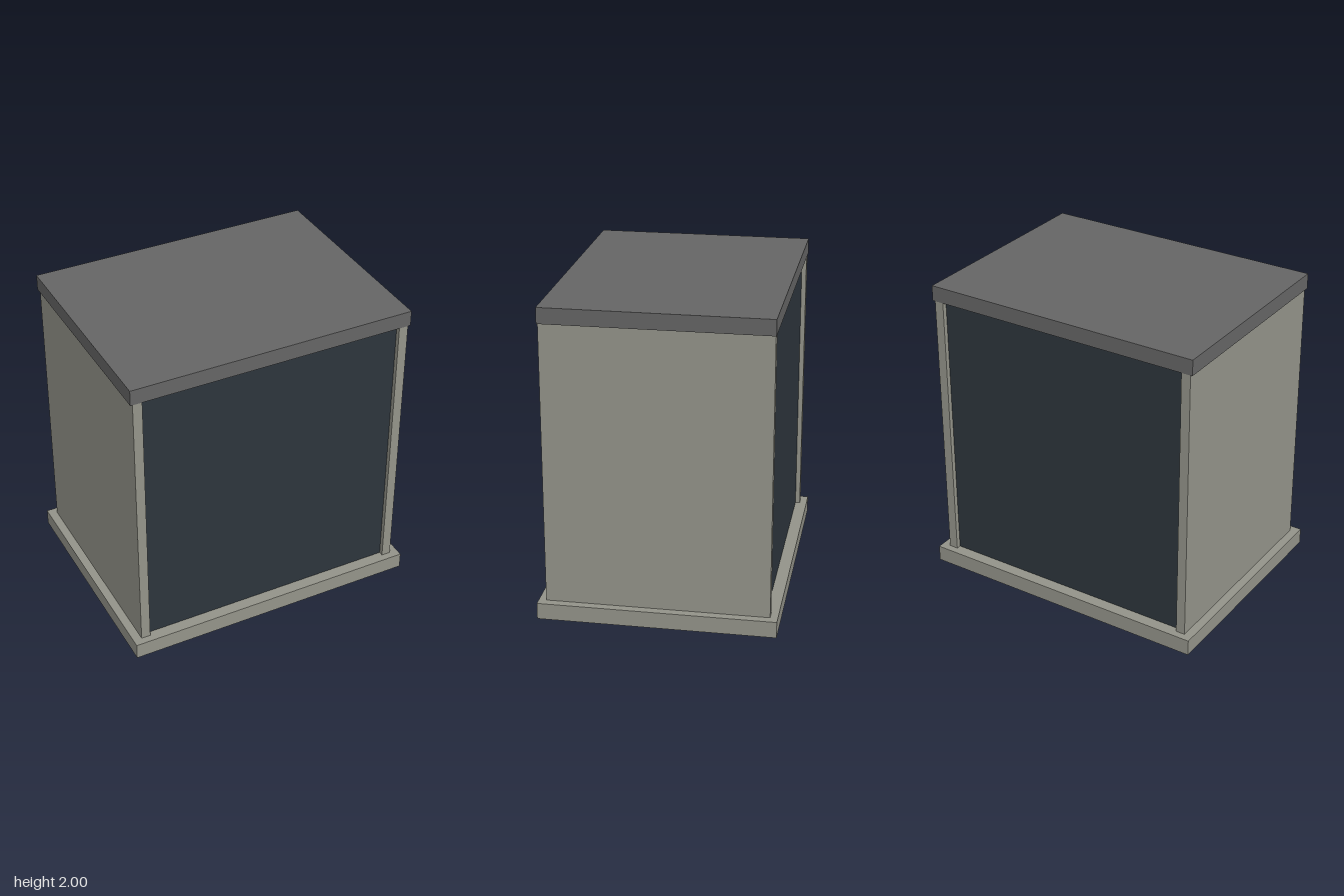
import * as THREE from 'three';

export function createModel() {
  const model = new THREE.Group();
  model.name = 'cabinet';

  const material = (name, color) => {
    const m = new THREE.MeshStandardMaterial({ color });
    m.name = name;
    return m;
  };
  const stone = material('warm grey', 0x939389);
  const roofGrey = material('dark grey', 0x656565);
  const glass = material('dark blue glass', 0x2d353c);

  const box = (name, mat, size, position) => {
    const mesh = new THREE.Mesh(new THREE.BoxGeometry(...size), mat);
    mesh.name = name;
    mesh.position.set(...position);
    model.add(mesh);
  };

  // Plinth and roof slabs
  box('base', stone, [1.93, 0.105, 1.49], [0, 0.0525, 0]);
  box('roof', roofGrey, [1.85, 0.1, 1.404], [0, 1.95, 0]);

  // Solid side walls, their ends forming the frame posts
  for (const [name, side] of [['leftWall', 1], ['rightWall', -1]]) {
    box(name, stone, [0.06, 1.795, 1.396], [side * 0.88, 1.0025, 0]);
  }

  // Panes slightly recessed between the walls, front and back
  for (const [name, side] of [['frontPane', 1], ['backPane', -1]]) {
    box(name, glass, [1.7, 1.795, 0.04], [0, 1.0025, side * 0.648]);
  }

  return model;
}
